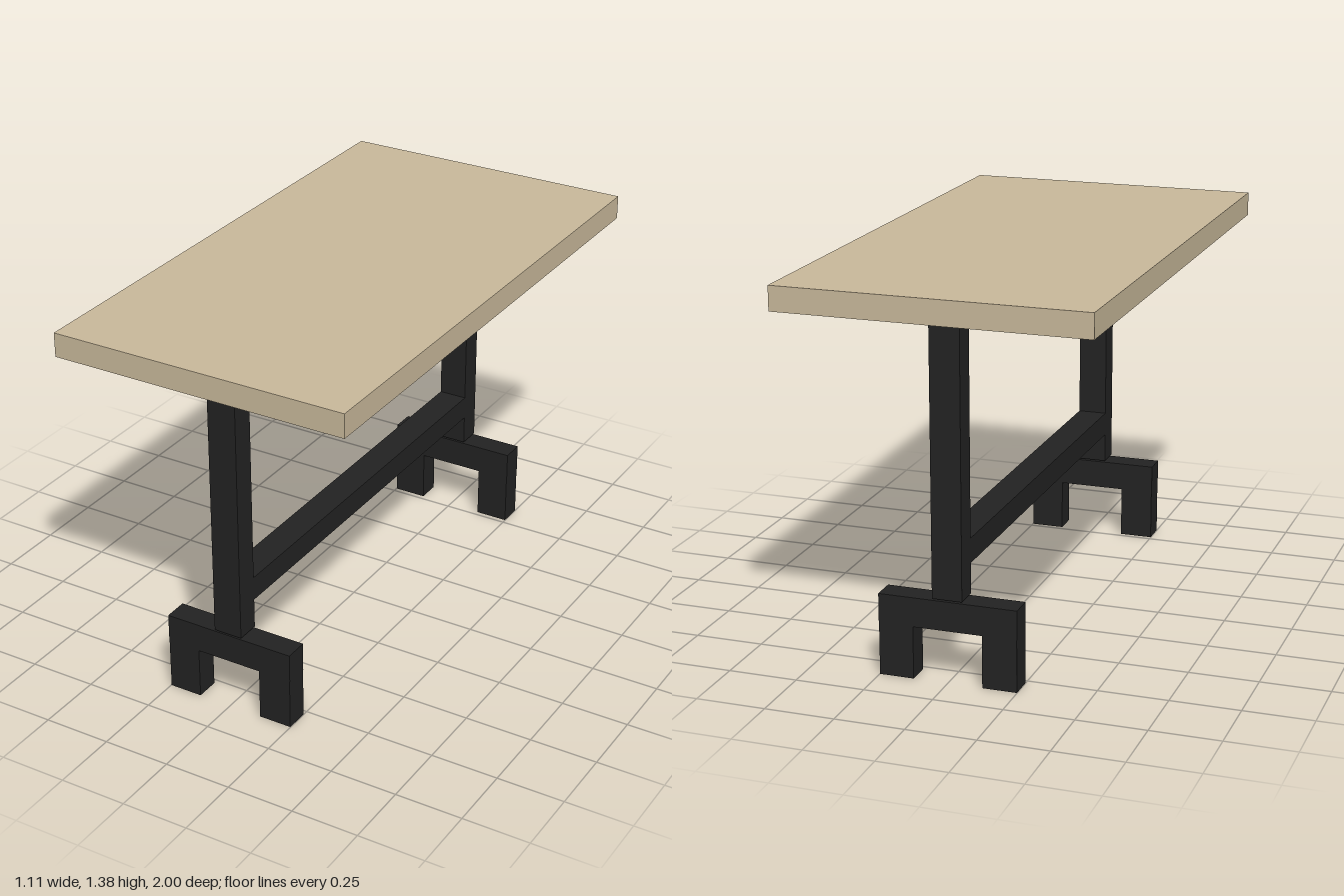
import * as THREE from 'three';

const wood = new THREE.MeshStandardMaterial({ color: 0xc8b89a });
wood.name = 'pale wood';
const metal = new THREE.MeshStandardMaterial({ color: 0x222222 });
metal.name = 'black metal';

// Box given by its lower and upper limits on each axis
function box(name, material, [x0, x1], [y0, y1], [z0, z1]) {
  const mesh = new THREE.Mesh(new THREE.BoxGeometry(x1 - x0, y1 - y0, z1 - z0), material);
  mesh.position.set((x0 + x1) / 2, (y0 + y1) / 2, (z0 + z1) / 2);
  mesh.name = name;
  return mesh;
}

// Upright post on an arched foot, centred on z = 0
function createLeg(name) {
  const depth = [-0.044, 0.044];
  const leg = new THREE.Group();
  leg.name = name;
  leg.add(
    box('post', metal, [-0.054, 0.054], [0.302, 1.293], depth),
    box('footBar', metal, [-0.25, 0.25], [0.19, 0.296], depth),
    box('leftFoot', metal, [0.125, 0.249], [0, 0.19], depth),
    box('rightFoot', metal, [-0.249, -0.125], [0, 0.19], depth),
  );
  return leg;
}

export function createModel() {
  const table = new THREE.Group();
  table.name = 'table';

  table.add(box('tabletop', wood, [-0.556, 0.556], [1.293, 1.381], [-1, 1]));

  // One leg at each end
  for (const [name, z] of [['frontLeg', 0.813], ['backLeg', -0.813]]) {
    const leg = createLeg(name);
    leg.position.z = z;
    table.add(leg);
  }

  // Rail joining the two posts
  table.add(box('stretcher', metal, [-0.054, 0.054], [0.412, 0.501], [-0.769, 0.769]));
  return table;
}
